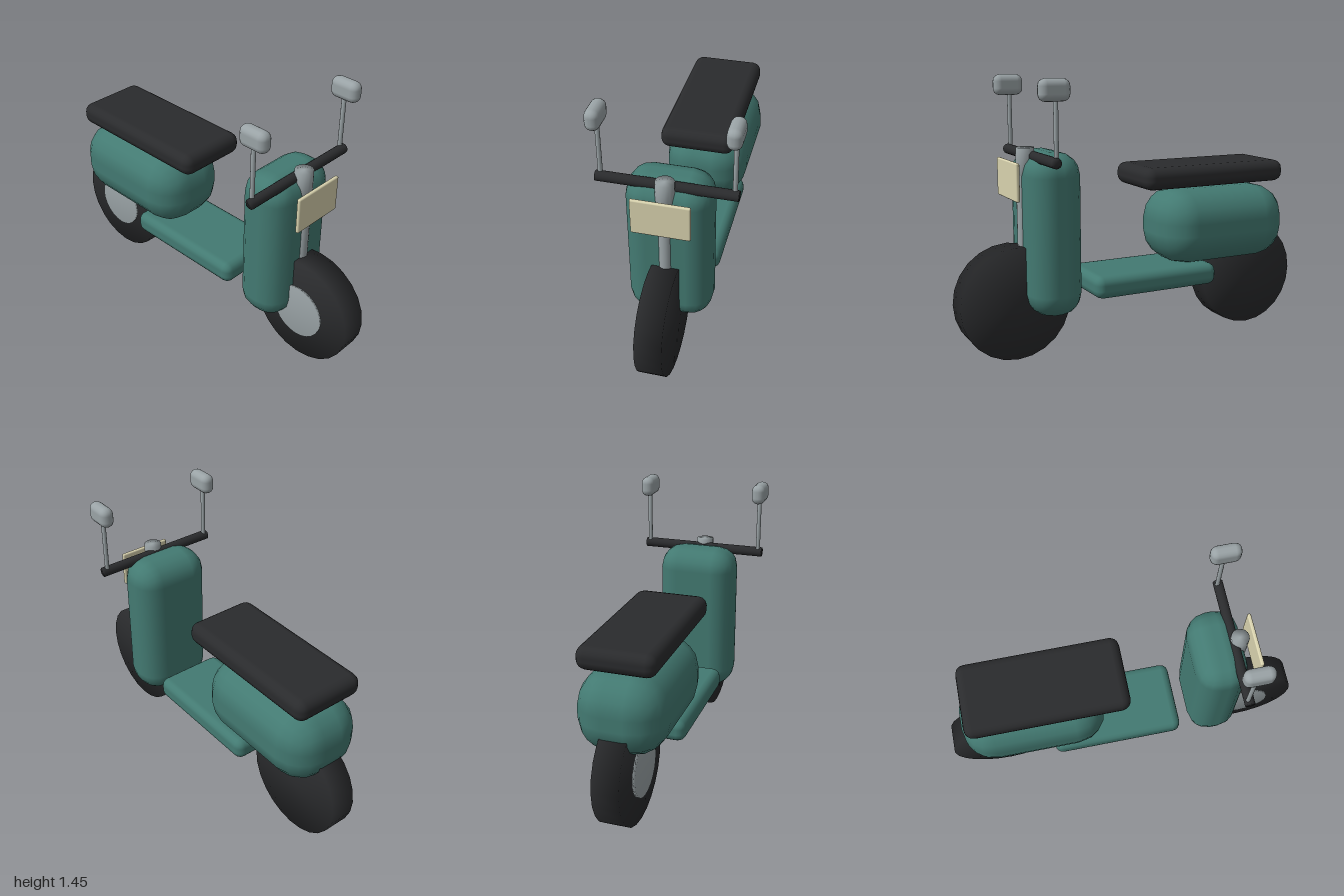
import * as THREE from 'three';
import { mergeVertices } from 'three/addons/utils/BufferGeometryUtils.js';
import { RoundedBoxGeometry } from 'three/addons/geometries/RoundedBoxGeometry.js';

const paint = (color) => new THREE.MeshStandardMaterial({ color });
const teal = paint(0x437a72);
const black = paint(0x2a2b2d);
const metal = paint(0x9aa3a6);
const cream = paint(0xd8d2ae);

// Weld the seams so the normals run softly over the rims
function weld(geometry) {
  geometry.deleteAttribute('normal');
  geometry.deleteAttribute('uv');
  const welded = mergeVertices(geometry, 1e-4);
  welded.computeVertexNormals();
  return welded;
}

export function createModel() {
  const scooter = new THREE.Group();
  scooter.name = 'scooter';

  const add = (name, geometry, material, x, y, z) => {
    const mesh = new THREE.Mesh(geometry, material);
    mesh.name = name;
    mesh.position.set(x, y, z);
    scooter.add(mesh);
    return mesh;
  };
  const pad = (name, material, size, radius, x, y, z = 0) =>
    add(name, new RoundedBoxGeometry(...size, 2, radius), material, x, y, z);
  // Upright rod, or one lying along z
  const rod = (name, material, radius, length, x, y, z, alongZ = false, sides = 24) => {
    const geometry = new THREE.CylinderGeometry(radius, radius, length, sides);
    if (alongZ) geometry.rotateX(Math.PI / 2);
    return add(name, weld(geometry), material, x, y, z);
  };

  // Wheels with a hub cover on the +z side
  for (const [place, x] of [['rear', -0.705], ['front', 0.705]]) {
    rod(place + 'Wheel', black, 0.295, 0.14, x, 0.295, 0, true);
    rod(place + 'Hub', metal, 0.15, 0.016, x, 0.298, 0.088, true);
  }

  // Bodywork and seat
  pad('rearBody', teal, [0.79, 0.415, 0.46], 0.175, -0.505, 0.608);
  pad('floorboard', teal, [0.73, 0.12, 0.4], 0.045, -0.055, 0.35);
  pad('legShield', teal, [0.28, 0.85, 0.44], 0.12, 0.51, 0.645);
  pad('seat', black, [0.875, 0.12, 0.4], 0.05, -0.42, 0.9);

  // Steering
  rod('steeringColumn', metal, 0.035, 0.7, 0.632, 0.65, 0, false, 16);
  rod('steeringHead', metal, 0.048, 0.14, 0.619, 1.02, 0, false, 16);
  rod('handlebar', black, 0.027, 0.7, 0.588, 1.045, 0, true, 16);
  pad('frontPlate', cream, [0.02, 0.195, 0.295], 0.008, 0.71, 0.932);

  // Mirrors on stalks
  for (const [side, s] of [['left', 1], ['right', -1]]) {
    rod(side + 'MirrorStalk', metal, 0.012, 0.32, 0.58, 1.2, s * 0.328, false, 12);
    pad(side + 'Mirror', metal, [0.16, 0.11, 0.075], 0.036, 0.588, 1.39, s * 0.328);
  }

  return scooter;
}
